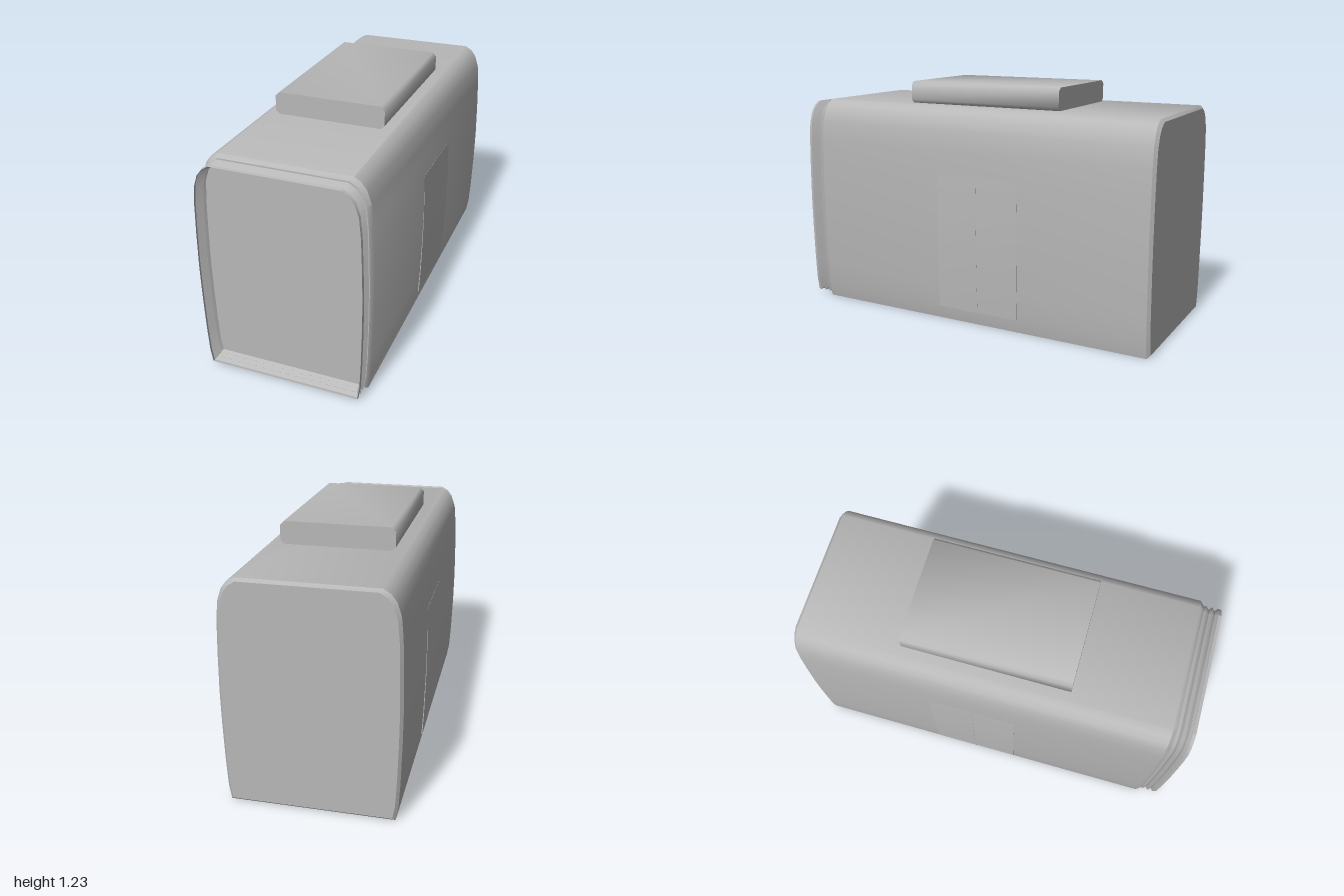
import * as THREE from 'three';
import { toCreasedNormals } from 'three/addons/utils/BufferGeometryUtils.js';

// Right half of the cross-section, from the floor up to the roof
const HALF = [
  [0.395, 0], [0.407, 0.07], [0.414, 0.2], [0.42, 0.4], [0.422, 0.57], [0.419, 0.75],
  [0.414, 0.9], [0.405, 1.0], [0.385, 1.06], [0.36, 1.093], [0.325, 1.115],
];
const OUTLINE = [...HALF, ...HALF.slice().reverse().map(([x, y]) => [-x, y])];
const MID = 0.5575;

// Cross-section point shrunk inwards by d
const inset = ([x, y], d) => [x * (1 - d / 0.422), MID + (y - MID) * (1 - d / MID)];

// Skin through [z, inset] stations running from back to front
function loft(stations, capBack, capFront, crease) {
  const pos = [], index = [], n = OUTLINE.length;
  for (const [z, d] of stations) for (const p of OUTLINE) pos.push(...inset(p, d), z);
  for (let i = 0; i < stations.length - 1; i++) {
    for (let j = 0; j < n; j++) {
      const k = (j + 1) % n, a = i * n, b = a + n;
      index.push(a + j, a + k, b + k, a + j, b + k, b + j);
    }
  }
  const last = (stations.length - 1) * n;
  for (let j = 1; j < n - 1; j++) {
    if (capBack) index.push(0, j + 1, j);
    if (capFront) index.push(last, last + j, last + j + 1);
  }
  const g = new THREE.BufferGeometry();
  g.setAttribute('position', new THREE.Float32BufferAttribute(pos, 3));
  g.setIndex(index);
  return toCreasedNormals(g, crease);
}

// Solid from an x-y outline, running from z0 to z1
function prism(points, z0, z1) {
  const shape = new THREE.Shape(points.map(([x, y]) => new THREE.Vector2(x, y)));
  const g = new THREE.ExtrudeGeometry(shape, { depth: z1 - z0, bevelEnabled: false });
  g.translate(0, 0, z0);
  return toCreasedNormals(g, 0.85);
}

// Width of the side wall at height y
function wallX(y) {
  const i = HALF.findIndex((p) => p[1] >= y);
  const [x0, y0] = HALF[i - 1], [x1, y1] = HALF[i];
  return x0 + (x1 - x0) * (y - y0) / (y1 - y0);
}

export function createModel() {
  const model = new THREE.Group();
  model.name = 'vehicleSection';
  const paint = new THREE.MeshStandardMaterial({ color: 0xb8b8b8, side: THREE.DoubleSide });
  paint.name = 'grey';

  const add = (name, geometry, parent = model) => {
    const mesh = new THREE.Mesh(geometry, paint);
    mesh.name = name;
    parent.add(mesh);
    return mesh;
  };

  // Closed body with chamfered ends
  add('body', loft([[-1, 0.014], [-0.985, 0], [0.89, 0], [0.91, 0.015]], true, true, 0.7));

  // Open folded gangway at the front
  const folds = [[0.905, 0.028]];
  for (let i = 0; i < 3; i++) {
    folds.push([0.925 + i * 0.03, 0.014], [0.94 + i * 0.03, 0.028]);
  }
  folds[folds.length - 1] = [1, 0.016];
  add('gangwayBellows', loft(folds, false, false, 0.5));

  // Roof unit with chamfered long edges
  add('roofUnit', prism([
    [-0.262, 1.113], [0.262, 1.113], [0.282, 1.133], [0.282, 1.208],
    [0.262, 1.228], [-0.262, 1.228], [-0.282, 1.208], [-0.282, 1.133],
  ], -0.465, 0.385));

  // Two thin door leaves on each side, following the wall curve
  const leaf = (thick) => {
    const ys = [0.07, 0.2, 0.4, 0.57, 0.78];
    const outer = ys.map((y, i) => [wallX(y) + thick * (1 - i * 0.2), y]);
    const inner = ys.map((y) => [wallX(y) - 0.003, y]).reverse();
    return [...outer, ...inner];
  };
  for (const side of [1, -1]) {
    const door = new THREE.Group();
    door.name = side > 0 ? 'leftDoor' : 'rightDoor';
    door.position.z = -0.083;
    door.rotation.y = side > 0 ? 0 : Math.PI;
    add('doorLeafA', prism(leaf(0.005), 0, 0.228), door);
    add('doorLeafB', prism(leaf(0.004), -0.228, 0), door);
    model.add(door);
  }
  return model;
}
